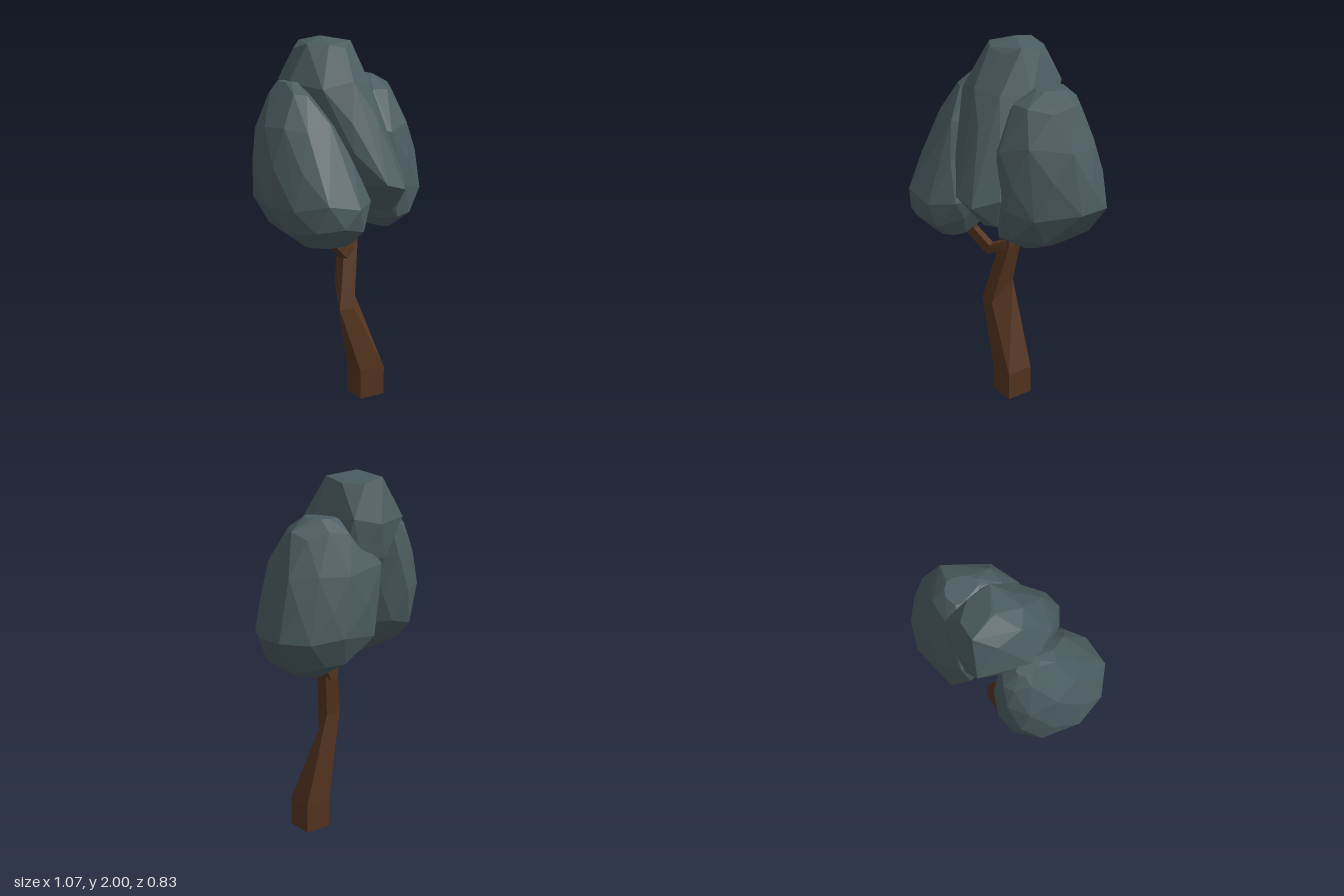
import * as THREE from 'three';
import { ConvexGeometry } from 'three/addons/geometries/ConvexGeometry.js';

const bark = new THREE.MeshStandardMaterial({ color: 0x54341f, flatShading: true });
const leaf = new THREE.MeshStandardMaterial({ color: 0x4a5c60, flatShading: true });

// Square beam through sections [x, y, z, half width, half depth, front shift x, front shift y].
// Without a side direction the sections stay level; otherwise they follow the path.
function beam(name, sections, side) {
  const at = sections.map(s => new THREE.Vector3(s[0], s[1], s[2]));
  const pos = [], index = [], last = sections.length - 1;
  sections.forEach(([, , , halfW, halfD, dx = 0, dy = 0], i) => {
    const t = side ? at[Math.min(i + 1, last)].clone().sub(at[Math.max(i - 1, 0)]).normalize()
      : new THREE.Vector3(0, 1, 0);
    const u = side ? new THREE.Vector3(...side) : new THREE.Vector3(0, 0, 1);
    u.addScaledVector(t, -u.dot(t)).normalize();
    const v = t.clone().cross(u);
    for (const [a, b] of [[1, 1], [-1, 1], [-1, -1], [1, -1]]) {
      const p = at[i].clone().addScaledVector(u, a * halfD).addScaledVector(v, b * halfW);
      pos.push(p.x + a * dx, p.y + a * dy, p.z);
    }
    if (i < last) for (let k = 0; k < 4; k++) {
      const a = i * 4 + k, b = i * 4 + (k + 1) % 4;
      index.push(a, b, b + 4, a, b + 4, a + 4);
    }
  });
  const e = last * 4;
  index.push(0, 2, 1, 0, 3, 2, e, e + 1, e + 2, e, e + 2, e + 3);
  const g = new THREE.BufferGeometry();
  g.setAttribute('position', new THREE.Float32BufferAttribute(pos, 3));
  g.setIndex(index);
  const flat = g.toNonIndexed();
  flat.computeVertexNormals();
  const mesh = new THREE.Mesh(flat, bark);
  mesh.name = name;
  return mesh;
}

// Faceted clump: hull around rings [y, min x, max x, min z, max z], each a scaled
// copy of a plan outline (x, z within -1..1); odd rings are staggered by half a side.
function clump(name, outline, rings) {
  const points = [];
  rings.forEach(([y, x0, x1, z0, z1], i) => {
    outline.forEach((p, k) => {
      const q = outline[(k + 1) % outline.length];
      const [u, w] = i % 2 ? [(p[0] + q[0]) * 0.53, (p[1] + q[1]) * 0.53] : p;
      const inner = i > 0 && i < rings.length - 1;
      const lift = inner ? 0.02 * Math.sin(k * 2.4 + i * 1.7) : 0;
      points.push(new THREE.Vector3(
        (x0 + x1) / 2 + u * (x1 - x0) / 2, y + lift, (z0 + z1) / 2 + w * (z1 - z0) / 2));
    });
  });
  const mesh = new THREE.Mesh(new ConvexGeometry(points), leaf);
  mesh.name = name;
  return mesh;
}

export function createModel() {
  const tree = new THREE.Group();
  tree.name = 'tree';

  // Crooked trunk with a tilted knee, and forked branches
  tree.add(beam('trunk', [
    [0.115, 0, 0.04, 0.076, 0.076],
    [0.115, 0.16, 0.04, 0.076, 0.076],
    [-0.022, 0.595, 0.04, 0.045, 0.06, -0.018, -0.065],
    [0.027, 0.88, -0.01, 0.042, 0.038],
    [0.033, 1.25, -0.02, 0.024, 0.024],
  ]));
  tree.add(beam('rightBranch', [
    [0.03, 0.88, 0.01, 0.028, 0.026],
    [-0.045, 0.845, 0.075, 0.028, 0.026],
    [-0.15, 0.935, 0.12, 0.026, 0.024],
    [-0.17, 1.06, 0.125, 0.022, 0.022],
  ], [0.12, 0, 0.2]));
  tree.add(beam('leftBranch', [
    [0.02, 0.87, -0.01, 0.028, 0.028],
    [0.09, 0.95, -0.06, 0.024, 0.024],
    [0.2, 1.06, -0.12, 0.02, 0.02],
  ], [0.11, 0, 0.18]));

  // Three leaning foliage clumps
  tree.add(clump('rightFoliage',
    [[0.92, 0], [0.85, 0.68], [0.42, 1], [-0.25, 1], [-0.75, 0.65], [-1, 0.08],
      [-0.9, -0.6], [-0.5, -0.95], [0, -1], [0.55, -0.62]], [
      [1.775, -0.35, -0.26, -0.13, 0.0],
      [1.71, -0.39, -0.19, -0.2, 0.09],
      [1.55, -0.48, -0.09, -0.23, 0.21],
      [1.35, -0.52, -0.03, -0.235, 0.31],
      [1.17, -0.535, 0.02, -0.21, 0.41],
      [1.05, -0.485, -0.03, -0.11, 0.405],
      [0.945, -0.35, -0.1, 0.08, 0.3],
    ]));
  tree.add(clump('middleFoliage',
    [[1, 0.1], [0.75, 0.75], [0.15, 1], [-0.55, 0.85], [-1, 0.15],
      [-0.7, -0.9], [0, -1], [0.7, -0.9]], [
      [2.0, -0.09, -0.07, -0.13, -0.11],
      [1.955, -0.23, 0.08, -0.26, 0.03],
      [1.76, -0.31, 0.155, -0.325, 0.17],
      [1.58, -0.26, 0.18, -0.3, 0.24],
      [1.4, -0.18, 0.215, -0.24, 0.3],
      [1.24, -0.08, 0.26, -0.17, 0.36],
      [1.1, 0.04, 0.23, -0.09, 0.25],
    ]));
  tree.add(clump('leftFoliage',
    [[1, -0.52], [1, 0], [0.6, 0.71], [0.1, 1], [-0.35, 0.85], [-0.65, 0.3],
      [-0.95, -0.4], [-0.85, -0.8], [0, -1], [0.58, -0.84]], [
      [1.785, 0.12, 0.26, -0.23, -0.05],
      [1.71, -0.02, 0.365, -0.29, 0.06],
      [1.52, -0.13, 0.45, -0.37, 0.18],
      [1.35, -0.12, 0.49, -0.385, 0.205],
      [1.19, -0.06, 0.53, -0.41, 0.21],
      [1.04, 0.06, 0.42, -0.34, 0.205],
      [0.955, 0.18, 0.31, -0.2, 0.06],
    ]));
  return tree;
}
